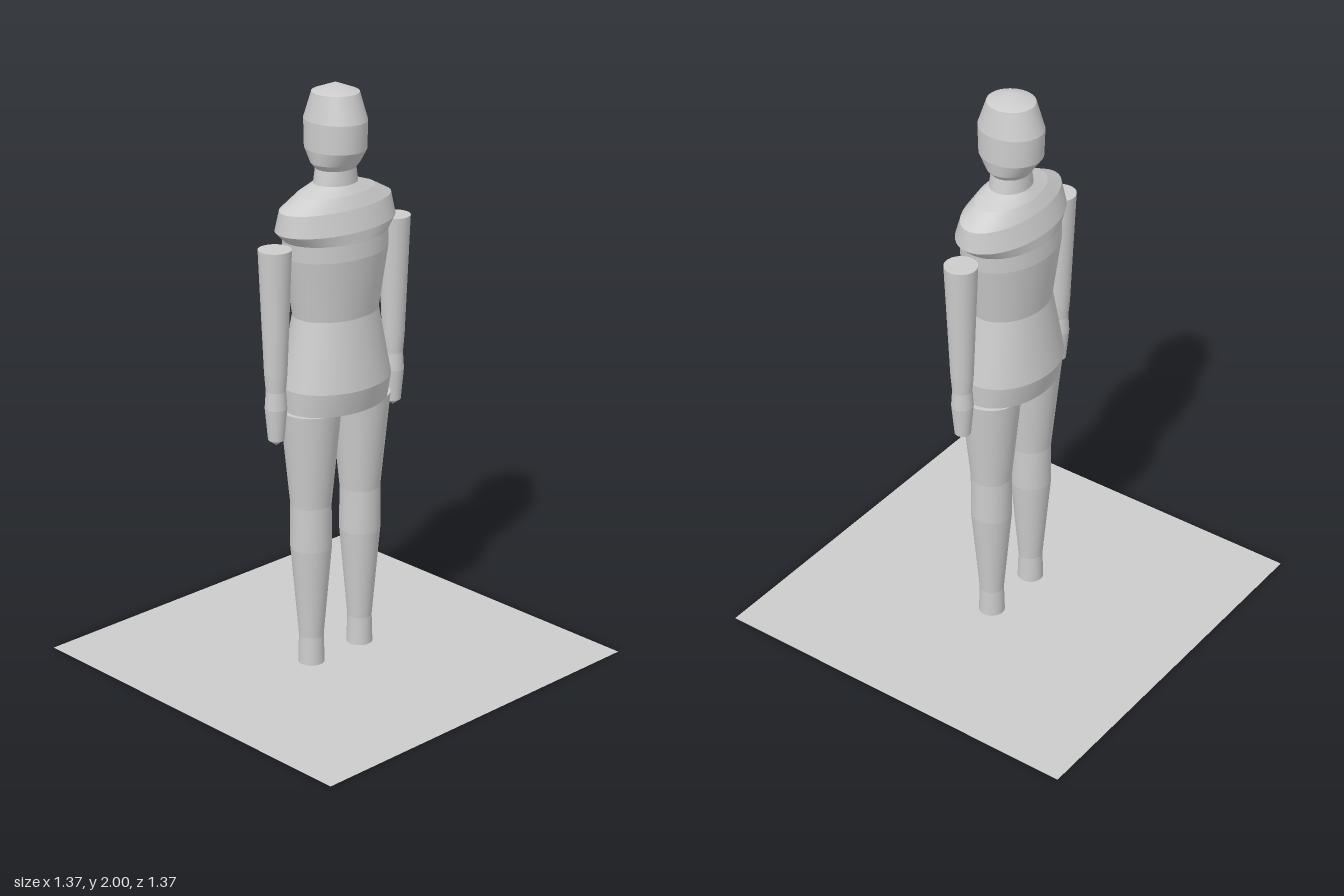
import * as THREE from 'three';
import { mergeVertices, mergeGeometries } from 'three/addons/utils/BufferGeometryUtils.js';

const material = new THREE.MeshStandardMaterial({ color: 0xcccccc, side: THREE.DoubleSide });

// Stacks elliptical bands from rings [y, radiusX, radiusZ], bottom to top:
// smooth around the body, with a crease between bands.
function loft(name, rings, segments = 48) {
  const bands = [];
  for (let i = 0; i < rings.length - 1; i++) {
    let band = new THREE.CylinderGeometry(1, 1, 1, segments, 1, true);
    band.deleteAttribute('uv');
    band.deleteAttribute('normal');
    const p = band.attributes.position;
    for (let k = 0; k < p.count; k++) {
      const [y, rx, rz = rx] = rings[p.getY(k) > 0 ? i + 1 : i];
      p.setXYZ(k, p.getX(k) * rx, y, p.getZ(k) * rz);
    }
    band = mergeVertices(band, 1e-5);
    band.computeVertexNormals();
    bands.push(band);
  }
  const mesh = new THREE.Mesh(mergeGeometries(bands), material);
  mesh.name = name;
  return mesh;
}

export function createModel() {
  const model = new THREE.Group();
  model.name = 'standingFigure';

  // Ground sheet
  const ground = new THREE.Mesh(new THREE.PlaneGeometry(1.366, 1.366), material);
  ground.rotation.x = -Math.PI / 2;
  ground.name = 'groundSheet';
  model.add(ground);

  // Hips, waist, chest and overhanging shoulders
  model.add(loft('torso', [
    [0.917, 0, 0], [0.917, 0.138, 0.2], [1.0, 0.158, 0.206], [1.235, 0.12, 0.16],
    [1.445, 0.143, 0.197], [1.5, 0.139, 0.2], [1.535, 0.137, 0.238],
    [1.605, 0.112, 0.228], [1.645, 0.089, 0.155], [1.672, 0.066, 0.078],
  ]));

  // Neck and head
  model.add(loft('head', [
    [1.67, 0.066, 0.079], [1.72, 0.063, 0.07], [1.74, 0.076, 0.088], [1.785, 0.108, 0.096],
    [1.88, 0.112, 0.096], [1.97, 0.08, 0.076], [2.0, 0, 0],
  ]));

  // Mirrored arms and legs, set apart along z
  for (const side of [1, -1]) {
    const arm = loft(side > 0 ? 'frontArm' : 'backArm', [
      [0.83, 0], [0.85, 0.027], [0.96, 0.037], [1.02, 0.033],
      [1.08, 0.038], [1.5, 0.055], [1.5, 0],
    ]);
    arm.position.z = side * 0.269;

    const leg = loft(side > 0 ? 'frontLeg' : 'backLeg', [
      [0, 0.045], [0.1, 0.042], [0.425, 0.07], [0.58, 0.069], [0.918, 0.102], [0.918, 0],
    ]);
    leg.position.z = side * 0.114;
    model.add(arm, leg);
  }
  return model;
}
